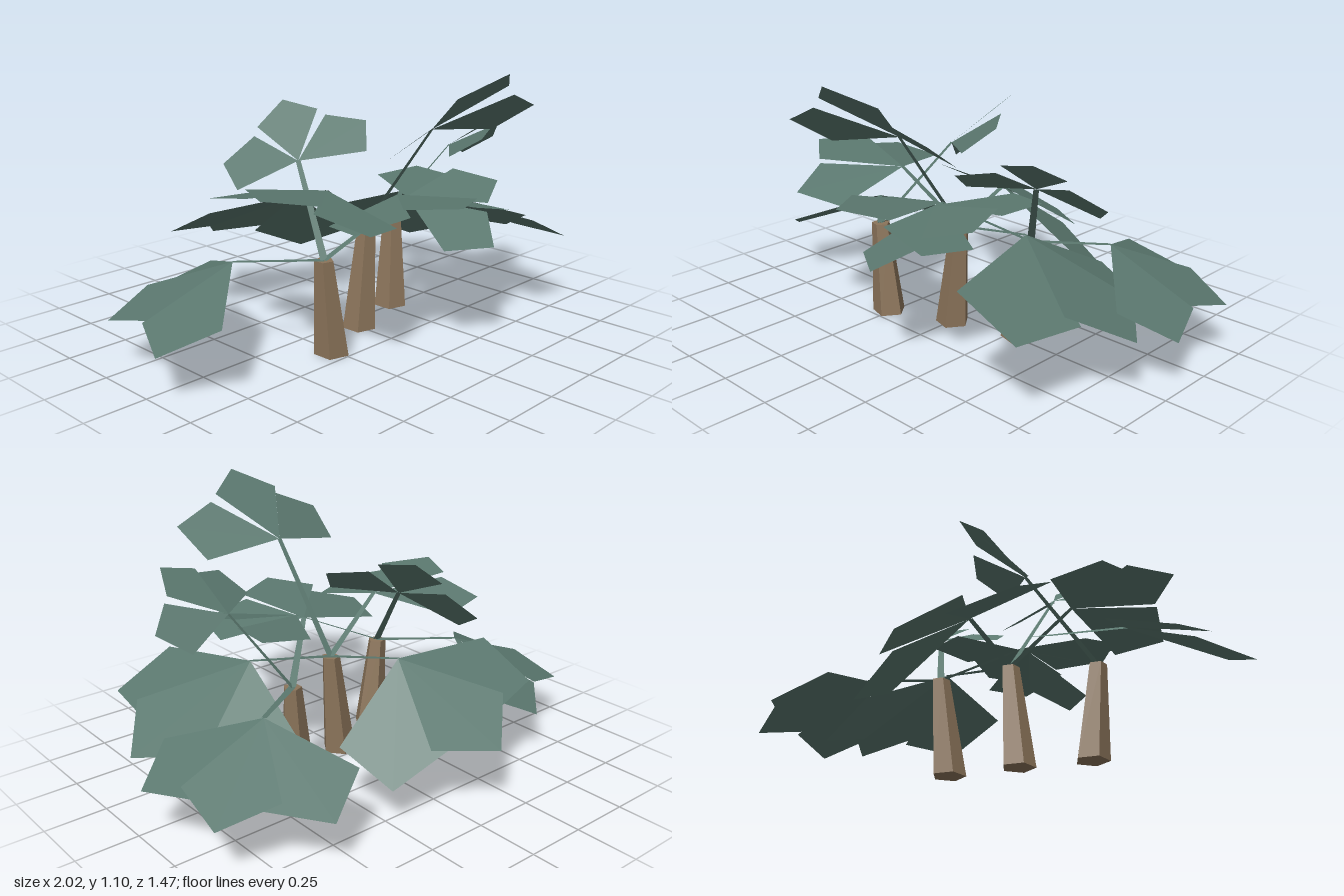
import * as THREE from 'three';

const bark = new THREE.MeshStandardMaterial({ color: 0x8b745a });
bark.name = 'bark brown';
bark.flatShading = true;
const green = new THREE.MeshStandardMaterial({ color: 0x5b786f, side: THREE.DoubleSide });
green.name = 'leaf green';
green.flatShading = true;

const V = (p) => new THREE.Vector3(...p);

// Flat four-cornered faces, each wound counter-clockwise
function quads(list) {
  const pos = [];
  for (const q of list) for (const i of [0, 1, 2, 0, 2, 3]) pos.push(...q[i]);
  const g = new THREE.BufferGeometry();
  g.setAttribute('position', new THREE.Float32BufferAttribute(pos, 3));
  g.computeVertexNormals();
  return g;
}

// Leaf of unit length pointing to -z: three kite lobes, the side ones
// turned out by the spread angle and drooping
function leafGeometry(spread) {
  const kite = [[0, 0], [0.375, 0.69], [0, 1], [-0.375, 0.69]];
  return quads([-1, 0, 1].map((side) => {
    const a = side * spread, c = Math.cos(a), s = Math.sin(a);
    return kite.map(([u, v]) => {
      const x = u * c + v * s, z = v * c - u * s;
      return [x, side ? -0.21 * Math.abs(x) : 0, -z];
    });
  }));
}

// Trunk: five-sided tapered post whose top leans sideways
function makeTrunk({ base, top }) {
  const h = top[1];
  const g = new THREE.CylinderGeometry(0.038, 0.07, h, 5);
  g.rotateY(0.35);
  g.translate(0, h / 2, 0);
  const p = g.attributes.position;
  for (let i = 0; i < p.count; i++) {
    const t = p.getY(i) / h;
    p.setX(i, p.getX(i) + base[0] + (top[0] - base[0]) * t);
    p.setZ(i, p.getZ(i) + base[1] + (top[2] - base[1]) * t);
  }
  g.computeVertexNormals();
  const m = new THREE.Mesh(g, bark);
  m.name = 'trunk';
  return m;
}

// Stem: flat ribbon from trunk top to leaf base
function makeStem(from, to) {
  const dir = to.clone().sub(from);
  const side = new THREE.Vector3(-dir.z, 0, dir.x).normalize();
  const at = (p, w) => p.clone().addScaledVector(side, w).toArray();
  const m = new THREE.Mesh(quads([[at(from, -0.015), at(from, 0.015), at(to, 0.01), at(to, -0.01)]]), green);
  m.name = 'stem';
  return m;
}

// Leaf placed from its base to its middle tip; a positive roll dips its right edge
function makeLeaf(base, tip, roll, spread) {
  const fwd = tip.clone().sub(base);
  const size = fwd.length();
  fwd.normalize();
  const right = new THREE.Vector3().crossVectors(fwd, new THREE.Vector3(0, 1, 0)).normalize();
  right.applyAxisAngle(fwd, roll);
  const up = new THREE.Vector3().crossVectors(right, fwd);
  const m = new THREE.Mesh(leafGeometry(THREE.MathUtils.degToRad(spread)), green);
  m.quaternion.setFromRotationMatrix(new THREE.Matrix4().makeBasis(right, up, fwd.clone().negate()));
  m.position.copy(base);
  m.scale.setScalar(size);
  m.name = 'leaf';
  return m;
}

// Each plant: trunk foot (x, z), trunk top, and leaves as
// [base, tip, roll in radians, lobe spread in degrees]
const plants = [
  {
    name: 'rightPlant', base: [-0.265, 0.18], top: [-0.305, 0.385, 0.18],
    leaves: [
      [[-0.565, 0.39, -0.04], [-0.94, 0.19, -0.31], 0, 46],
      [[-0.17, 0.70, -0.1], [-0.03, 0.90, -0.34], -0.36, 63],
      [[0.085, 0.57, 0.245], [0.45, 0.60, 0.415], 0.25, 59],
    ],
  },
  {
    name: 'middlePlant', base: [0.005, 0.07], top: [0.045, 0.43, 0.07],
    leaves: [
      [[0.055, 0.86, 0.39], [0.055, 1.10, 0.73], 0.05, 60],
      [[-0.025, 0.505, -0.26], [-0.107, 0.265, -0.735], 0.33, 46],
      [[0.42, 0.50, 0.1], [0.947, 0.25, 0.12], -0.2, 46],
      [[-0.23, 0.63, 0.12], [-0.65, 0.685, 0.22], -0.06, 53],
    ],
  },
  {
    name: 'leftPlant', base: [0.29, -0.015], top: [0.325, 0.41, -0.04],
    leaves: [
      [[0.58, 0.42, -0.21], [0.957, 0.21, -0.45], 0, 47],
      [[0.49, 0.70, 0.13], [0.65, 0.866, 0.34], -0.2, 60],
      [[0.08, 0.57, 0.2], [-0.04, 0.615, 0.62], 0, 53],
    ],
  },
];

export function createModel() {
  const root = new THREE.Group();
  root.name = 'plantCluster';
  for (const plant of plants) {
    const g = new THREE.Group();
    g.name = plant.name;
    g.add(makeTrunk(plant));
    for (const [base, tip, roll, spread] of plant.leaves) {
      g.add(makeStem(V(plant.top), V(base)));
      g.add(makeLeaf(V(base), V(tip), roll, spread));
    }
    root.add(g);
  }
  return root;
}
